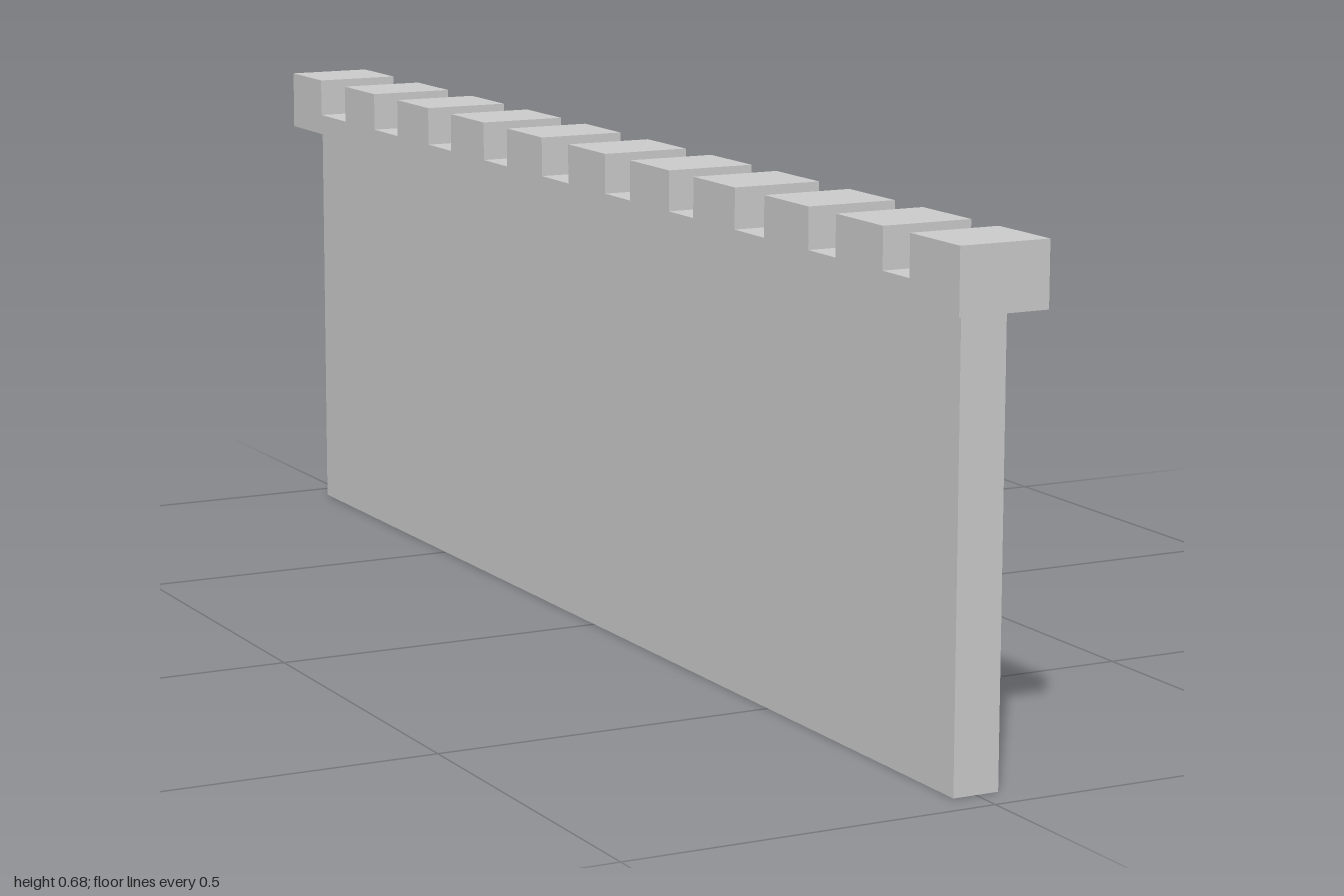
import * as THREE from 'three';

export function createModel() {
  const group = new THREE.Group();
  group.name = 'battlementWall';
  const material = new THREE.MeshStandardMaterial({ color: 0xcccccc, flatShading: true });

  // Box resting on height y, centred on x = 0
  function block(name, width, height, depth, y, z = 0) {
    const mesh = new THREE.Mesh(new THREE.BoxGeometry(width, height, depth), material);
    mesh.name = name;
    mesh.position.set(0, y + height / 2, z);
    group.add(mesh);
  }

  const wallTop = 0.592, walkTop = 0.622, merlonTop = 0.676;

  // Wall slab and the wider ledge it carries
  block('wall', 0.063, wallTop, 1.912, 0);
  block('ledge', 0.123, walkTop - wallTop, 2, wallTop);

  // Merlons, slightly unevenly spaced along the ledge
  const centres = [0.944, 0.77, 0.591, 0.402, 0.222, 0.037, -0.158, -0.348, -0.54, -0.738, -0.944];
  centres.forEach((z, i) => block(`merlon${i + 1}`, 0.123, merlonTop - walkTop, 0.112, walkTop, z));

  return group;
}
